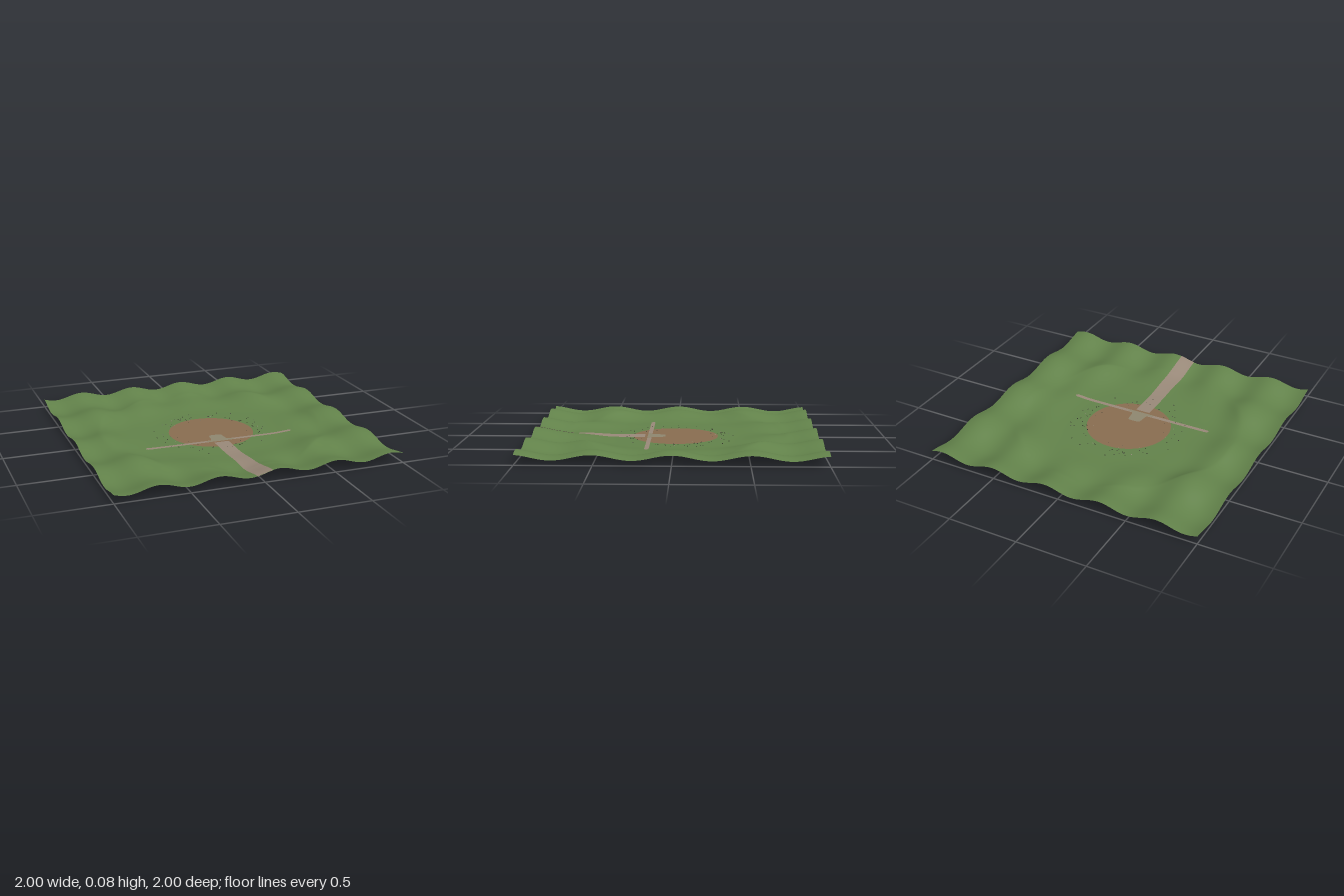
import * as THREE from 'three';

const mat = (name, color) => {
  const m = new THREE.MeshStandardMaterial({ color, side: THREE.DoubleSide });
  m.name = name;
  return m;
};

// Rolling ground that eases down to a level clearing in the middle
const BASE = 0.005;
function groundHeight(x, z) {
  const t = THREE.MathUtils.clamp((Math.hypot(x, z) - 0.4) / 0.4, 0, 1);
  return BASE + t * t * (0.041 + 0.02 * Math.sin(15.5 * x) + 0.0175 * Math.cos(12.3 * z));
}

// Lay a flat XY geometry onto the ground, lifted by a small offset
function drape(geo, x, z, lift) {
  geo.rotateX(-Math.PI / 2).translate(x, 0, z);
  const p = geo.attributes.position;
  for (let i = 0; i < p.count; i++) p.setY(i, groundHeight(p.getX(i), p.getZ(i)) + lift);
  geo.computeVertexNormals();
  return geo;
}

export function createModel() {
  const model = new THREE.Group();
  const grass = mat('grass green', 0x62824a);
  const earth = mat('bare earth', 0x886c50);
  const gravel = mat('path gravel', 0x988878);
  const stone = mat('doorstep stone', 0x8e866f);
  const dark = mat('dark pebble', 0x35382a);
  const pale = mat('pale pebble', 0x8c8672);

  const add = (name, geo, material) => {
    const mesh = new THREE.Mesh(geo, material);
    mesh.name = name;
    model.add(mesh);
  };

  add('terrain', drape(new THREE.PlaneGeometry(2, 2, 120, 120), 0, 0, 0), grass);

  // Ground markings show on both faces of the sheet
  const marking = (name, make, x, z, lift, material) => {
    add(name, drape(make(), x, z, lift), material);
    add(name + 'Underside', drape(make(), x, z, -lift), material);
  };

  marking('clearing', () => new THREE.CircleGeometry(0.305, 40), 0, 0, 0.0012, earth);
  marking('path', () => new THREE.PlaneGeometry(0.107, 0.78, 6, 50), -0.002, 0.61, 0.002, gravel);

  // Long cross strip with narrowed ends
  marking('crossStrip', () => {
    const g = new THREE.PlaneGeometry(1.09, 0.03, 100, 2);
    const p = g.attributes.position;
    for (let i = 0; i < p.count; i++) if (Math.abs(p.getX(i)) > 0.54) p.setY(i, p.getY(i) * 0.4);
    return g;
  }, 0, 0.185, 0.002, gravel);

  // Round-topped step with flared foot
  marking('doorstep', () => {
    const s = new THREE.Shape();
    s.moveTo(-0.1, -0.015);
    s.lineTo(-0.1, 0.005);
    s.quadraticCurveTo(-0.053, 0.005, -0.053, 0.045);
    s.lineTo(-0.048, 0.09);
    s.quadraticCurveTo(-0.046, 0.113, -0.025, 0.113);
    s.lineTo(0.025, 0.113);
    s.quadraticCurveTo(0.046, 0.113, 0.048, 0.09);
    s.lineTo(0.053, 0.045);
    s.quadraticCurveTo(0.053, 0.005, 0.1, 0.005);
    s.lineTo(0.1, -0.015);
    return new THREE.ShapeGeometry(s, 8);
  }, 0, 0.185, 0.0028, stone);

  // Small pebbles scattered around the clearing's rim
  let seed = 7;
  const rand = () => (seed = (seed * 16807) % 2147483647) / 2147483647;
  const pebbles = new THREE.Group();
  pebbles.name = 'pebbles';
  const pebbleGeo = new THREE.DodecahedronGeometry(0.005);
  for (let i = 0; i < 80; i++) {
    const a = rand() * Math.PI * 2;
    const r = 0.22 + 0.2 * (rand() + rand()) / 2 + 0.02;
    const pebble = new THREE.Mesh(pebbleGeo, i % 9 === 0 ? pale : dark);
    pebble.name = 'pebble';
    const x = r * Math.cos(a), z = r * Math.sin(a);
    pebble.position.set(x, groundHeight(x, z), z);
    pebble.rotation.y = rand() * 6;
    pebble.scale.setScalar(0.7 + 0.3 * rand());
    pebbles.add(pebble);
  }
  model.add(pebbles);
  return model;
}
